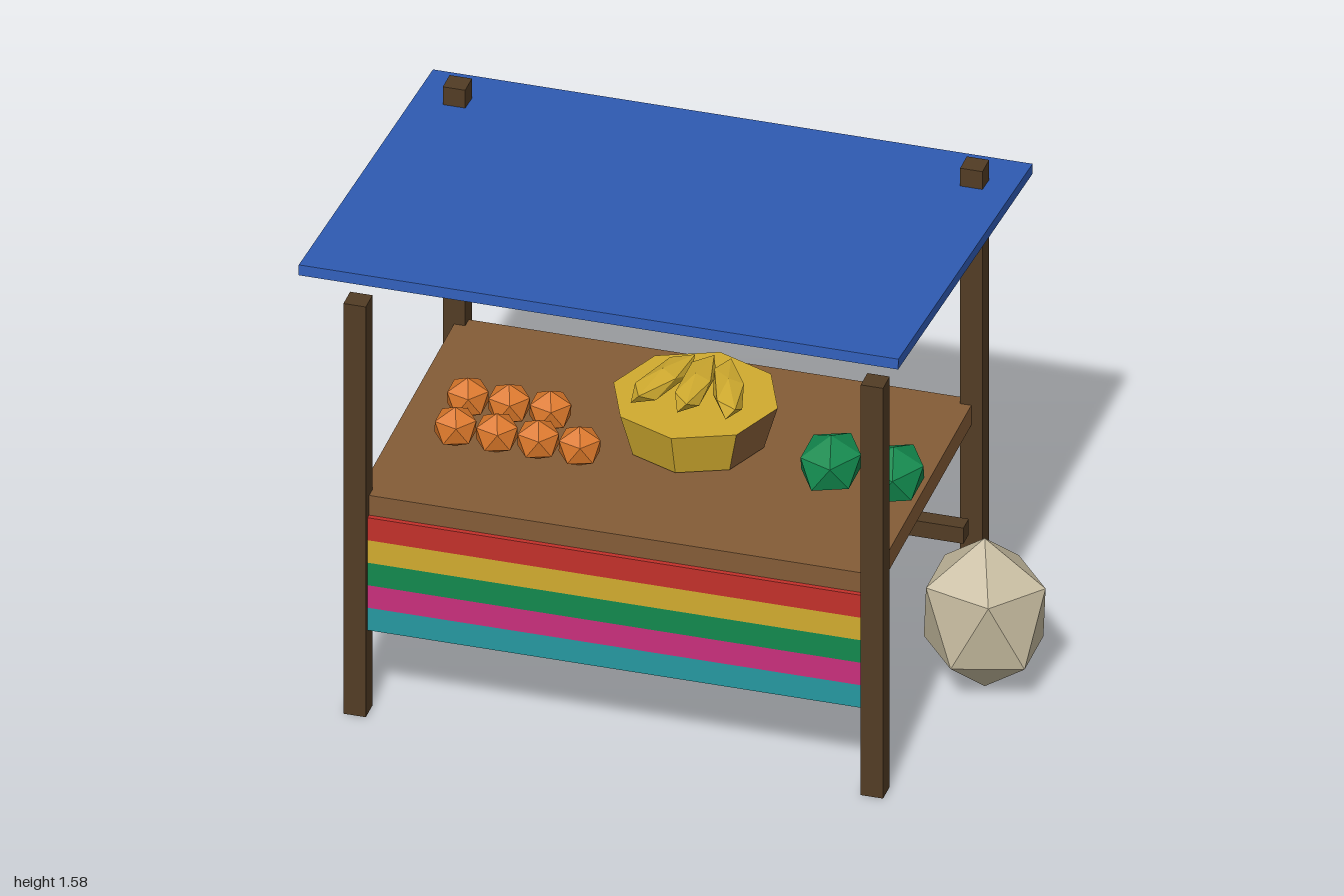
import * as THREE from 'three';
import { ConvexGeometry } from 'three/addons/geometries/ConvexGeometry.js';

const mat = (name, color) => {
  const m = new THREE.MeshStandardMaterial({ color });
  m.name = name;
  return m;
};

// Icosahedron standing on a corner, stretched along each axis (flat faces)
function gem(rx, ry, rz) {
  const pts = [new THREE.Vector3(0, ry, 0), new THREE.Vector3(0, -ry, 0)];
  for (let i = 0; i < 5; i++) {
    const a = (i * Math.PI * 2) / 5;
    const c = 0.8944 * Math.cos(a), s = 0.8944 * Math.sin(a);
    pts.push(new THREE.Vector3(c * rx, 0.4472 * ry, s * rz));
    pts.push(new THREE.Vector3(-c * rx, -0.4472 * ry, s * rz));
  }
  return new ConvexGeometry(pts);
}

export function createModel() {
  const model = new THREE.Group();
  model.name = 'marketStall';

  const blue = mat('canopyBlue', 0x2f5cb6);
  const darkWood = mat('darkWood', 0x523c24);
  const wood = mat('tableWood', 0x845c37);
  const red = mat('red', 0xc2302a);
  const yellow = mat('yellow', 0xd0ab2f);
  const green = mat('green', 0x12894e);
  const pink = mat('pink', 0xc82f7c);
  const teal = mat('teal', 0x2698a0);
  const orange = mat('orange', 0xdb782a);
  const beige = mat('sackBeige', 0xc6bb9f);

  const add = (name, geo, material, x, y, z) => {
    const mesh = new THREE.Mesh(geo, material);
    mesh.name = name;
    mesh.position.set(x, y, z);
    model.add(mesh);
    return mesh;
  };
  const box = (name, material, w, h, d, x, y, z) =>
    add(name, new THREE.BoxGeometry(w, h, d), material, x, y, z);

  const cx = -0.1; // centre line of the stall

  // Posts: the rear pair is taller and pokes through the canopy
  for (const side of [-1, 1]) {
    const x = cx + side * 0.775;
    box('frontPost', darkWood, 0.067, 1.386, 0.067, x, 0.693, 0.5);
    box('rearPost', darkWood, 0.067, 1.525, 0.067, x, 0.7625, -0.498);
  }
  box('rearRail', darkWood, 1.55, 0.053, 0.053, cx, 0.335, -0.412);

  // Sloping canopy
  const canopy = box('canopy', blue, 1.797, 0.033, 1.355, cx - 0.002, 1.497, 0.002);
  canopy.rotation.x = -0.104;

  // Table and striped cloth
  box('tableTop', wood, 1.55, 0.067, 1.0, cx, 0.696, 0);
  [red, yellow, green, pink, teal].forEach((m, i) =>
    box('clothStripe', m, 1.5, 0.076, 0.02, cx, 0.625 - i * 0.076, 0.505));

  // Eight-sided basket, plain on one side
  const basketSide = (name, material, first, count) => {
    const step = Math.PI / 4;
    const geo = new THREE.CylinderGeometry(0.246, 0.205, 0.14, count, 1, true, first * step, count * step).toNonIndexed();
    geo.computeVertexNormals();
    const m = add(name, geo, material, -0.032, 0.805, -0.066);
    return m;
  };
  basketSide('basketWoodSide', wood, 1, 3);
  basketSide('basketYellowSide', yellow, 4, 5);
  add('basketTop', new THREE.CircleGeometry(0.246, 8), yellow, -0.032, 0.875, -0.066).rotation.x = -Math.PI / 2;
  add('basketBase', new THREE.CircleGeometry(0.205, 8), yellow, -0.032, 0.735, -0.066).rotation.x = Math.PI / 2;

  // Long fruit fanned out over the basket
  const longFruit = gem(0.05, 0.036, 0.165);
  [-1, 0, 1].forEach((i) => {
    add('longFruit', longFruit, yellow, -0.032 + i * 0.098, 0.914, -0.066).rotation.y = i * 0.33;
  });

  // Round fruit: a row of four with three behind
  const roundFruit = gem(0.07, 0.065, 0.07);
  for (let i = 0; i < 4; i++) {
    add('roundFruit', roundFruit, orange, -0.682 + i * 0.124, 0.794, 0.168);
    if (i < 3) add('roundFruit', roundFruit, orange, -0.682 + i * 0.124, 0.82, 0.045);
  }

  // Melons
  const melon = gem(0.1, 0.089, 0.125);
  add('melon', melon, green, 0.425, 0.833, 0.105);
  add('melon', melon, green, 0.615, 0.833, 0.114);

  // Sack beside the stall
  add('sack', gem(0.204, 0.25, 0.18), beige, 0.813, 0.25, -0.137);

  return model;
}
